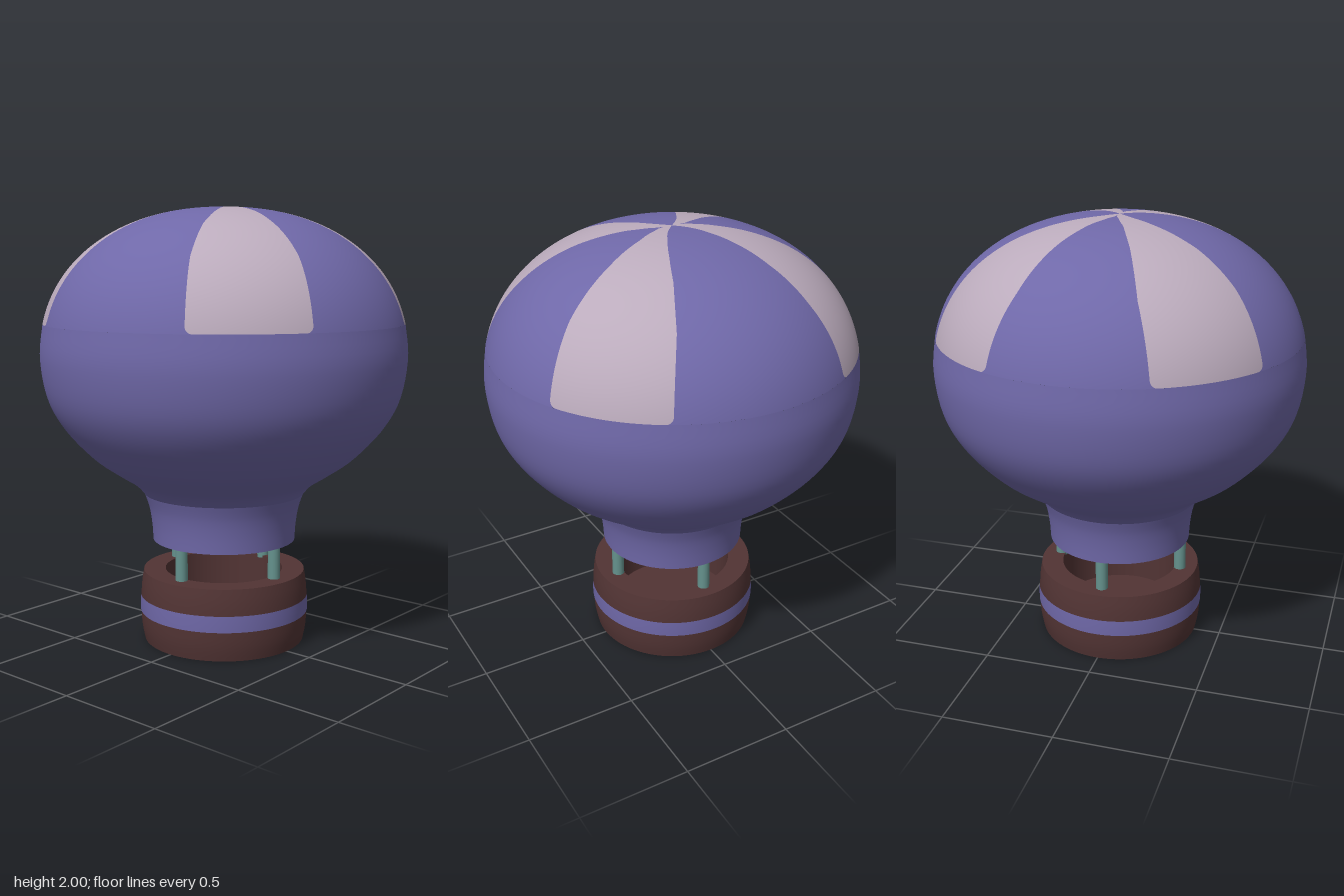
import * as THREE from 'three';

const mat = (name, color) => {
  const m = new THREE.MeshStandardMaterial({ color });
  m.name = name;
  return m;
};

// Piecewise linear lookup, degrees to radians
function lookup(table, r) {
  for (let i = 1; i < table.length; i++) {
    const [r0, a0] = table[i - 1], [r1, a1] = table[i];
    if (r <= r1) return THREE.MathUtils.degToRad(a0 + (a1 - a0) * (r - r0) / (r1 - r0));
  }
  return THREE.MathUtils.degToRad(table[table.length - 1][1]);
}

// Crown of the envelope: slightly full half ellipsoid above the panel line
const RADIUS = 0.835, HEIGHT = 0.67, MID = 1.33, PANEL_Y = 1.48, CORNER = 0.03;
const POWER = 2 / 2.18;
const THETA = Math.acos(Math.pow((PANEL_Y - MID) / HEIGHT, 1 / POWER));
const crownRadius = (th) => RADIUS * Math.pow(Math.sin(th), POWER);
// Half widths of the dark gores, by distance from the axis
const FRONT_GORE = [[0, 0], [0.045, 0], [0.1, 13], [0.2, 20], [0.4, 22], [0.65, 22.3], [0.83, 24.5]];
const SIDE_GORE = [[0, 45], [0.08, 42], [0.17, 36], [0.3, 32], [0.45, 29.2], [0.65, 28.3], [0.83, 29.5]];

// Gore edge, widened near the bottom to round the panel corners
function goreAngle(table, r, y) {
  const d = Math.max(0, CORNER - (y - PANEL_Y));
  const inset = CORNER - Math.sqrt(Math.max(0, CORNER * CORNER - d * d));
  return lookup(table, r) + (r > 0.5 ? inset / r : 0);
}

// Strip of the crown between two edge angles, given per row
function crownStrip(edges, cols = 16, rows = 60) {
  const pos = [], nor = [], idx = [];
  for (let i = 0; i <= rows; i++) {
    const th = THETA * (1 - Math.pow(i / rows, 1.5));
    const r = crownRadius(th), y = MID + HEIGHT * Math.pow(Math.cos(th), POWER);
    const out = Math.pow(Math.sin(th), 2 - POWER) / RADIUS;
    const up = Math.pow(Math.cos(th), 2 - POWER) / HEIGHT;
    const [lo, hi] = edges(goreAngle(FRONT_GORE, r, y), goreAngle(SIDE_GORE, r, y));
    for (let j = 0; j <= cols; j++) {
      const a = lo + (hi - lo) * j / cols;
      const n = new THREE.Vector3(out * Math.sin(a), up, out * Math.cos(a)).normalize();
      pos.push(r * Math.sin(a), y, r * Math.cos(a));
      nor.push(n.x, n.y, n.z);
      if (i < rows && j < cols) {
        const p = i * (cols + 1) + j, q = p + cols + 1;
        idx.push(p, p + 1, q + 1, p, q + 1, q);
      }
    }
  }
  const g = new THREE.BufferGeometry();
  g.setAttribute('position', new THREE.Float32BufferAttribute(pos, 3));
  g.setAttribute('normal', new THREE.Float32BufferAttribute(nor, 3));
  g.setIndex(idx);
  return g;
}

export function createModel() {
  const model = new THREE.Group();
  model.name = 'hotAirBalloon';
  const purple = mat('purple cloth', 0x6f68a8);
  const pale = mat('pale cloth', 0xbbabbc);
  const brown = mat('brown basket', 0x523434);
  const teal = mat('teal posts', 0x65928d);

  const add = (name, geometry, material, parent = model) => {
    const mesh = new THREE.Mesh(geometry, material);
    mesh.name = name;
    parent.add(mesh);
    return mesh;
  };
  const lathe = (points, smooth = 0) => {
    let p = points.map(([x, y]) => new THREE.Vector2(x, y));
    if (smooth) p = new THREE.SplineCurve(p).getPoints(smooth);
    return new THREE.LatheGeometry(p, 128);
  };

  // Envelope: neck, lower bulb, then crown of gores and panels
  const envelope = new THREE.Group();
  envelope.name = 'envelope';
  model.add(envelope);
  add('neckUnderside', lathe([[0, 0.475], [0.331, 0.475]]), purple, envelope);
  add('neck', lathe([[0.331, 0.475], [0.336, 0.55], [0.349, 0.63], [0.371, 0.695]], 8), purple, envelope);
  add('lowerEnvelope', lathe([[0.371, 0.695], [0.417, 0.745], [0.505, 0.802], [0.61, 0.878], [0.732, 1.01],
    [0.806, 1.15], [RADIUS, MID], [crownRadius(THETA), PANEL_Y]], 32), purple, envelope);
  const P = Math.PI;
  for (const t of [0, P]) {
    add('frontBackGore', crownStrip((f) => [t - f, t + f]), purple, envelope);
    add('sideGore', crownStrip((f, s) => [t + P / 2 - s, t + P / 2 + s]), purple, envelope);
    add('palePanel', crownStrip((f, s) => [t + f, t + P / 2 - s]), pale, envelope);
    add('palePanel', crownStrip((f, s) => [t + P / 2 + s, t + P - f]), pale, envelope);
  }

  // Basket: barrel wall, flat rim, hollow inside and floor
  const basket = new THREE.Group();
  basket.name = 'basket';
  model.add(basket);
  add('basketWall', lathe([[0.374, 0], [0.387, 0.07], [0.391, 0.165], [0.387, 0.26], [0.376, 0.33]], 12), brown, basket);
  add('basketBase', lathe([[0, 0], [0.374, 0]]), brown, basket);
  add('basketRim', lathe([[0.376, 0.33], [0.275, 0.33]]), brown, basket);
  add('basketInside', lathe([[0.275, 0.33], [0.275, 0.09]]), brown, basket);
  add('basketFloor', lathe([[0.275, 0.09], [0, 0.09]]), brown, basket);
  add('basketBand', lathe([[0.393, 0.137], [0.394, 0.175], [0.393, 0.212]]), purple, basket);

  // Four posts between the rim and the neck
  for (let i = 0; i < 4; i++) {
    const post = add('post', new THREE.CylinderGeometry(0.028, 0.028, 0.165, 16), teal);
    post.position.set(0.297 * Math.sin(i * P / 2), 0.4, 0.297 * Math.cos(i * P / 2));
  }
  return model;
}
